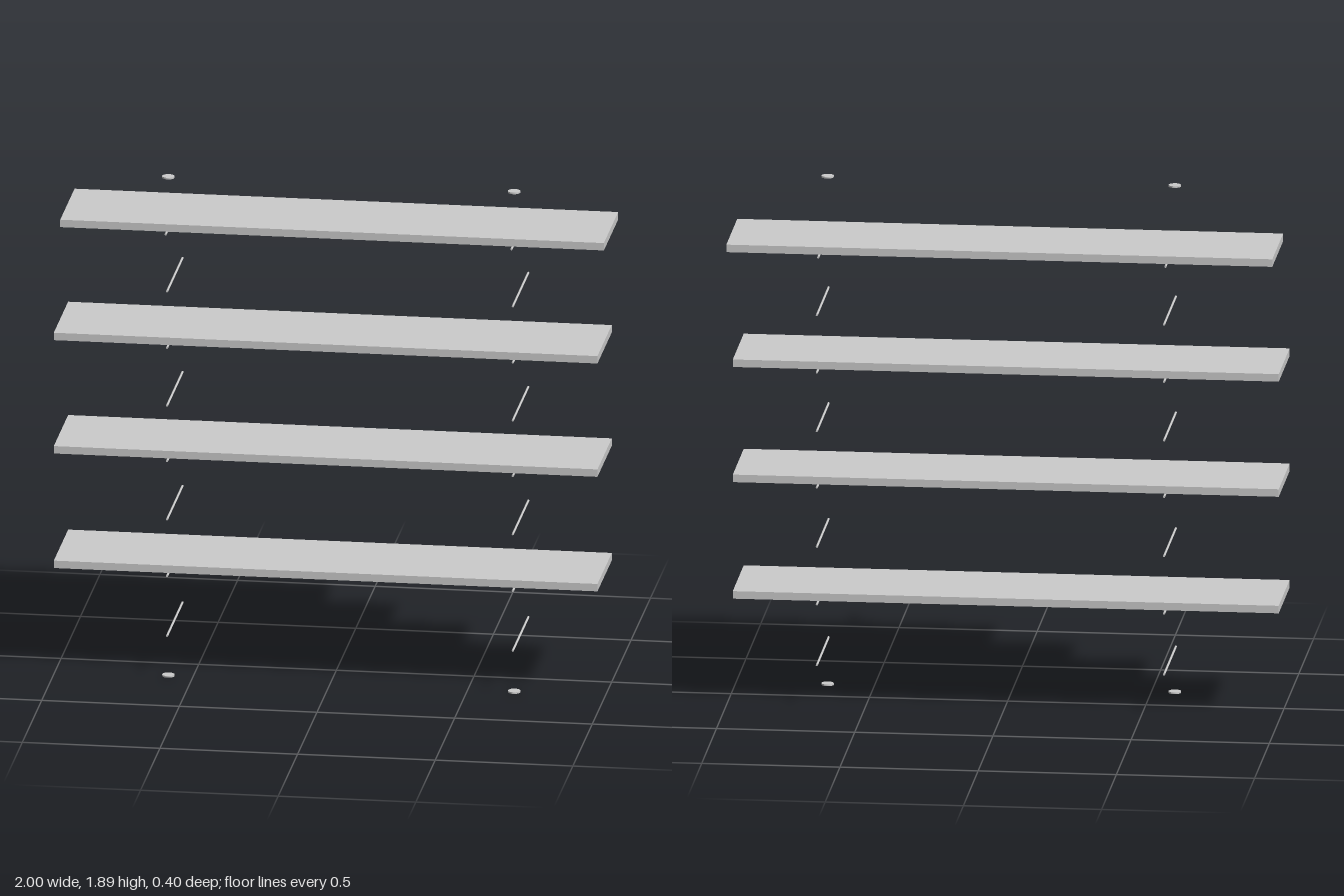
import * as THREE from 'three';

export function createModel() {
  const group = new THREE.Group();
  const material = new THREE.MeshStandardMaterial({ color: 0xcccccc });

  function add(geometry, name, x, y, z) {
    const mesh = new THREE.Mesh(geometry, material);
    mesh.name = name;
    mesh.position.set(x, y, z);
    group.add(mesh);
    return mesh;
  }

  // Long flat boards; the top one is shifted slightly sideways
  const board = new THREE.BoxGeometry(1.975, 0.028, 0.37);
  const boards = [
    [-0.0125, 0.415, 0.003],
    [-0.0125, 0.848, 0.004],
    [-0.0125, 1.276, 0.004],
    [0.0105, 1.703, 0.001],
  ];
  for (const [x, y, z] of boards) add(board, 'shelf', x, y, z);

  // Thin cross rods running front to back: one under each board, one midway below it
  const rod = new THREE.CylinderGeometry(0.004, 0.004, 0.4, 16).rotateX(Math.PI / 2);
  const rodHeights = [0.167, 0.393, 0.607, 0.827, 1.037, 1.255, 1.468, 1.683];
  const sides = [-0.587, 0.669];
  rodHeights.forEach((y, i) => {
    const shift = i === rodHeights.length - 1 ? -0.005 : 0;
    for (const x of sides) add(rod, 'crossRod', x + shift, y, 0);
  });

  // Small round discs at the foot and head of each front post line
  const disc = new THREE.CylinderGeometry(0.0225, 0.0225, 0.006, 32);
  sides.forEach((x, i) => {
    add(disc, 'footDisc', x, i === 0 ? 0.008 : 0.003, 0.165);
    add(disc, 'topDisc', x, 1.89, 0.165);
  });

  return group;
}
